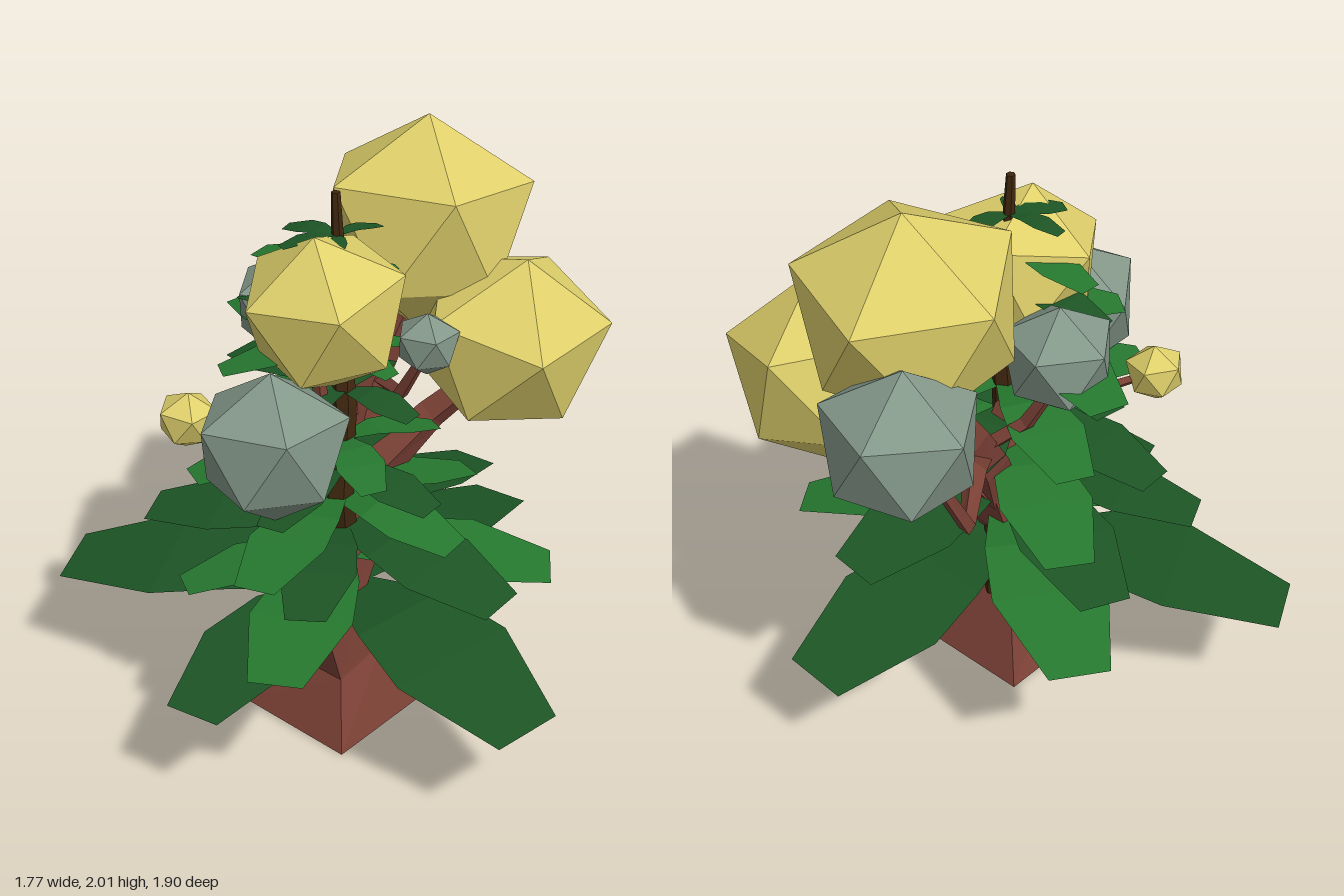
import * as THREE from 'three';

const mat = (color, side = THREE.FrontSide) =>
  new THREE.MeshStandardMaterial({ color, flatShading: true, side });

const bark = mat(0x7a4035), pineBark = mat(0x3f270f);
const yellow = mat(0xdfd06b), sage = mat(0x84988a);
const darkLeaf = mat(0x1d5525, THREE.DoubleSide), lightLeaf = mat(0x26782f, THREE.DoubleSide);

// Faceted limb: rings of [x, y, z, radius], each square to the path, capped at both ends
function limb(name, points, sides, material) {
  const pos = [], index = [], up = new THREE.Vector3(0, 1, 0);
  const centres = points.map(p => new THREE.Vector3(p[0], p[1], p[2]));
  centres.forEach((c, i) => {
    const dir = centres[Math.min(i + 1, centres.length - 1)].clone()
      .sub(centres[Math.max(i - 1, 0)]).normalize();
    if (i === 0) dir.lerp(up, 0.6).normalize();
    const q = new THREE.Quaternion().setFromUnitVectors(up, dir);
    for (let k = 0; k < sides; k++) {
      const a = (k + 0.5) / sides * Math.PI * 2;
      const v = new THREE.Vector3(Math.sin(a), 0, Math.cos(a))
        .multiplyScalar(points[i][3]).applyQuaternion(q).add(c);
      pos.push(v.x, v.y, v.z);
      if (i > 0) {
        const n = (k + 1) % sides, a0 = (i - 1) * sides, b0 = i * sides;
        index.push(a0 + k, a0 + n, b0 + n, a0 + k, b0 + n, b0 + k);
      }
    }
  });
  const last = (points.length - 1) * sides;
  for (let k = 1; k < sides - 1; k++) {
    index.push(0, k + 1, k, last, last + k, last + k + 1);
  }
  const g = new THREE.BufferGeometry();
  g.setAttribute('position', new THREE.Float32BufferAttribute(pos, 3));
  g.setIndex(index);
  g.computeVertexNormals();
  const mesh = new THREE.Mesh(g, material);
  mesh.name = name;
  return mesh;
}

// Broad arched leaf of unit length along +z: [distance, half width, height]
function leafGeometry() {
  const sections = [[0, 0.06, 0], [0.34, 0.19, 0.05], [0.62, 0.24, 0.02], [1, 0.125, -0.065]];
  const pos = [], index = [];
  sections.forEach(([z, w, y], i) => {
    pos.push(-w, y, z, w, y, z);
    if (i > 0) {
      const b = i * 2;
      index.push(b - 2, b, b - 1, b - 1, b, b + 1);
    }
  });
  const g = new THREE.BufferGeometry();
  g.setAttribute('position', new THREE.Float32BufferAttribute(pos, 3));
  g.setIndex(index);
  g.computeVertexNormals();
  return g;
}

// Icosahedral crown standing on a corner, fuller above than below, leaned by tiltX and tiltZ
function crown(name, x, y, z, r, material, tiltX = 0, tiltZ = 0) {
  const g = new THREE.IcosahedronGeometry(r, 0);
  g.rotateZ(-Math.atan(2 / (1 + Math.sqrt(5))));
  g.rotateY(Math.PI / 10);
  const p = g.attributes.position;
  for (let i = 0; i < p.count; i++) {
    const s = 1 + 0.15 * p.getY(i) / r;
    p.setX(i, p.getX(i) * s);
    p.setZ(i, p.getZ(i) * s);
  }
  g.computeVertexNormals();
  const mesh = new THREE.Mesh(g, material);
  mesh.position.set(x, y, z);
  mesh.rotation.set(tiltX, 0, tiltZ);
  mesh.name = name;
  return mesh;
}

function broadleafTree() {
  const tree = new THREE.Group();
  tree.name = 'broadleafTree';
  tree.add(
    limb('flaredTrunk', [[-0.11, 0, 0, 0.325], [-0.11, 0.21, 0.01, 0.16], [-0.18, 0.43, 0, 0.135],
      [-0.07, 0.6, -0.01, 0.13], [0.01, 0.8, -0.02, 0.1]], 4, bark),
    // Boughs
    limb('frontBough', [[0, 0.72, -0.02, 0.09], [0.1, 0.87, 0.02, 0.075], [0.27, 1.02, 0.1, 0.055],
      [0.42, 1.2, 0.25, 0.04]], 4, bark),
    limb('rightBough', [[0, 0.72, -0.02, 0.09], [0.1, 0.93, -0.08, 0.075], [0.2, 1.1, -0.11, 0.06],
      [0.38, 1.4, -0.07, 0.04]], 4, bark),
    limb('leftBough', [[0, 0.74, -0.02, 0.08], [-0.07, 0.95, 0.01, 0.045], [-0.21, 1.19, 0.03, 0.028],
      [-0.2, 1.36, 0.02, 0.02]], 4, bark),
    // Thin branches
    limb('elbowBranch', [[0.14, 0.97, -0.08, 0.05], [0.28, 1.06, -0.2, 0.038], [0.45, 1.015, -0.33, 0.028],
      [0.56, 1.25, -0.3, 0.022]], 4, bark),
    limb('frontTwig', [[0.2, 1.12, -0.05, 0.035], [0.08, 1.18, 0.12, 0.026], [0.08, 1.34, 0.21, 0.018]], 4, bark),
    limb('backTwig', [[-0.06, 0.95, 0, 0.03], [-0.2, 1.08, -0.18, 0.022], [-0.42, 1.125, -0.32, 0.014]], 4, bark),
    limb('backBranch', [[0.14, 1.0, -0.08, 0.035], [0.04, 1.12, -0.2, 0.028], [0, 1.3, -0.29, 0.02]], 4, bark),
    limb('leftTwig', [[-0.13, 1.06, 0.02, 0.03], [-0.28, 1.12, 0.05, 0.024], [-0.44, 1.18, 0.05, 0.018]], 4, bark),
    // Crowns
    crown('largeCrown', 0.385, 1.635, -0.04, 0.368, yellow, -0.04, -0.1),
    crown('frontCrown', 0.43, 1.295, 0.285, 0.333, yellow, 0.25, 0.06),
    crown('leftCrown', -0.17, 1.53, 0.02, 0.277, yellow, 0, 0.18),
    crown('smallBackCrown', -0.44, 1.135, -0.34, 0.102, yellow, 0.1, 0),
    crown('leftSageCrown', -0.475, 1.2, 0.072, 0.252, sage, -0.05, -0.04),
    crown('rightSageCrown', 0.65, 1.405, -0.26, 0.258, sage, 0, 0.06),
    crown('backSageCrown', 0, 1.395, -0.295, 0.19, sage),
    crown('smallSageCrown', 0.09, 1.39, 0.22, 0.108, sage)
  );
  return tree;
}

function pineTree() {
  const tree = new THREE.Group();
  tree.name = 'pineTree';
  const path = [[-0.06, 0.235, 0, 0.07], [-0.07, 0.55, 0, 0.066], [-0.13, 0.86, 0.035, 0.052],
    [-0.115, 1.2, 0.05, 0.04], [-0.085, 1.5, 0.01, 0.028], [-0.085, 1.9, -0.01, 0.015]];
  tree.add(limb('pineTrunk', path, 6, pineBark));

  // Trunk centre at a given height
  const curve = new THREE.CatmullRomCurve3(path.map(p => new THREE.Vector3(p[0], p[1], p[2])));
  const samples = curve.getPoints(80);
  const rootAt = y => samples.reduce((a, b) => Math.abs(b.y - y) < Math.abs(a.y - y) ? b : a);

  // Leaf tiers: height, then the x, z of each leaf tip
  const tiers = [
    [0.465, [-0.88, 0.075], [0.825, 0], [-0.255, 0.92], [-0.51, -0.9]],
    [0.61, [-0.74, 0.305], [0.345, 0.57], [0.34, -0.715], [-0.55, -0.28]],
    [0.735, [0.59, 0.05], [-0.1, 0.69], [-0.57, 0.28], [0.15, -0.65], [-0.4, -0.58]],
    [0.86, [-0.68, 0.17], [0.33, 0.22], [-0.1, 0.5], [0.2, -0.54]],
    [0.97, [-0.53, 0.1], [0.25, -0.1], [-0.12, 0.42], [-0.2, -0.55]],
    [1.08, [-0.58, -0.18], [0.17, 0.2], [-0.3, 0.33], [0.08, -0.45]],
    [1.25, [-0.4, 0.05], [0.16, 0], [-0.1, 0.32], [-0.08, -0.45]],
    [1.38, [-0.42, -0.2], [0.12, 0.15], [-0.12, 0.25], [0.04, -0.54]],
    [1.5, [-0.3, 0.05], [0.1, 0], [-0.1, 0.2], [-0.14, -0.36]],
    [1.64, [-0.25, -0.15], [0.08, 0.1], [-0.1, -0.33]],
    [1.76, [-0.25, -0.09], [0.08, 0.03], [-0.18, 0.08], [-0.12, -0.19]]
  ];
  const geometry = leafGeometry();
  tiers.forEach(([y, ...tips], t) => {
    const tier = new THREE.Group();
    tier.name = 'leafTier';
    const root = rootAt(y);
    tips.forEach(([x, z]) => {
      const leaf = new THREE.Mesh(geometry, t % 2 ? lightLeaf : darkLeaf);
      const dx = x - root.x, dz = z - root.z;
      leaf.name = 'leaf';
      leaf.position.set(root.x, y, root.z);
      // Slight roll, mirrored across the diagonal of the tier
      leaf.rotation.order = 'YXZ';
      leaf.rotation.set(0, Math.atan2(dx, dz), dz > dx ? 0.08 : -0.08);
      leaf.scale.setScalar(Math.hypot(dx, dz));
      tier.add(leaf);
    });
    tree.add(tier);
  });
  return tree;
}

export function createModel() {
  const model = new THREE.Group();
  model.name = 'entwinedTrees';
  model.add(broadleafTree(), pineTree());
  return model;
}
